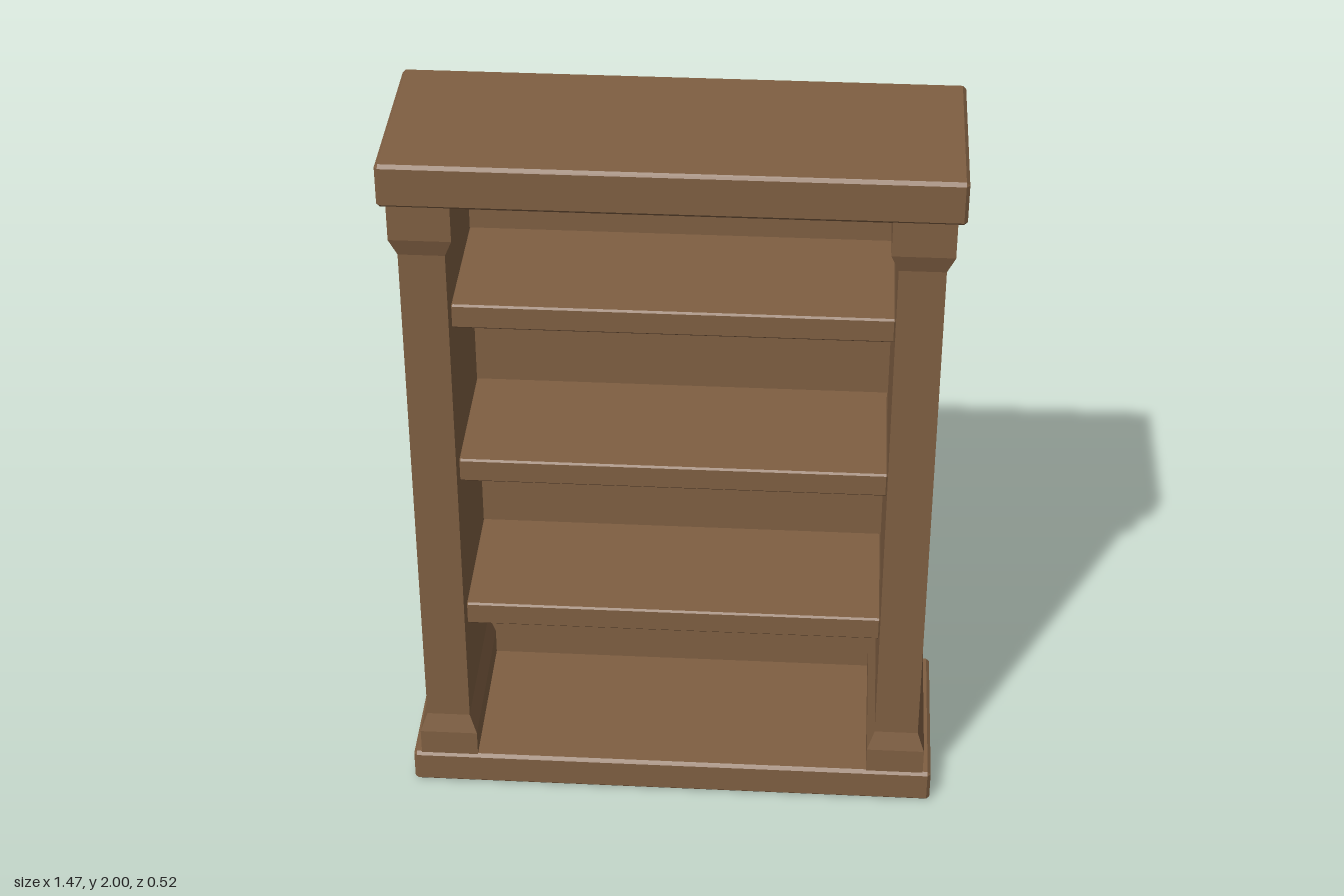
import * as THREE from 'three';
import { ConvexGeometry } from 'three/addons/geometries/ConvexGeometry.js';

const wood = new THREE.MeshStandardMaterial({ color: 0x7f5f42 });
wood.name = 'brown wood';

// Box between two corners with every edge chamfered by c
function chamferedBox(x, y0, y1, z0, z1, c) {
  const half = new THREE.Vector3(x, (y1 - y0) / 2, (z1 - z0) / 2);
  const points = [];
  for (const sx of [-1, 1]) for (const sy of [-1, 1]) for (const sz of [-1, 1]) {
    for (const axis of ['x', 'y', 'z']) {
      const p = half.clone().subScalar(c);
      p[axis] = half[axis];
      points.push(p.multiply(new THREE.Vector3(sx, sy, sz)));
    }
  }
  return new ConvexGeometry(points).translate(0, (y0 + y1) / 2, (z0 + z1) / 2);
}

// Upright whose ends flare to both sides and to the front; the back stays flat
function flaredUpright() {
  // height, half width, front z
  const rows = [
    [0.095, 0.08, 0.255], [0.175, 0.08, 0.255], [0.23, 0.06, 0.24],
    [1.735, 0.06, 0.24], [1.785, 0.08, 0.255], [1.885, 0.08, 0.255],
  ];
  const box = new THREE.BoxGeometry(1, 1, 1, 1, rows.length - 1, 1);
  const pos = box.attributes.position;
  for (let i = 0; i < pos.count; i++) {
    const [y, half, front] = rows[Math.round((pos.getY(i) + 0.5) * (rows.length - 1))];
    pos.setXYZ(i, Math.sign(pos.getX(i)) * half, y, pos.getZ(i) > 0 ? front : -0.235);
  }
  const flat = box.toNonIndexed();
  flat.computeVertexNormals();
  return flat;
}

export function createModel() {
  const model = new THREE.Group();
  model.name = 'bookcase';
  const add = (name, geometry, x = 0) => {
    const mesh = new THREE.Mesh(geometry, wood);
    mesh.name = name;
    mesh.position.x = x;
    model.add(mesh);
  };

  // Plinth and top slab
  add('base', chamferedBox(0.733, 0, 0.1, -0.262, 0.262, 0.009));
  add('top', chamferedBox(0.733, 1.88, 2, -0.262, 0.262, 0.009));

  // Side uprights
  const upright = flaredUpright();
  add('leftUpright', upright, 0.63);
  add('rightUpright', upright, -0.63);

  // Back panel, set in slightly between the uprights
  add('backPanel', new THREE.BoxGeometry(1.16, 1.79, 0.018).translate(0, 0.99, -0.219));

  // Shelves
  [0.515, 1.0, 1.485].forEach((y, i) =>
    add(`shelf${i + 1}`, chamferedBox(0.572, y, y + 0.07, -0.215, 0.185, 0.005)));

  return model;
}
